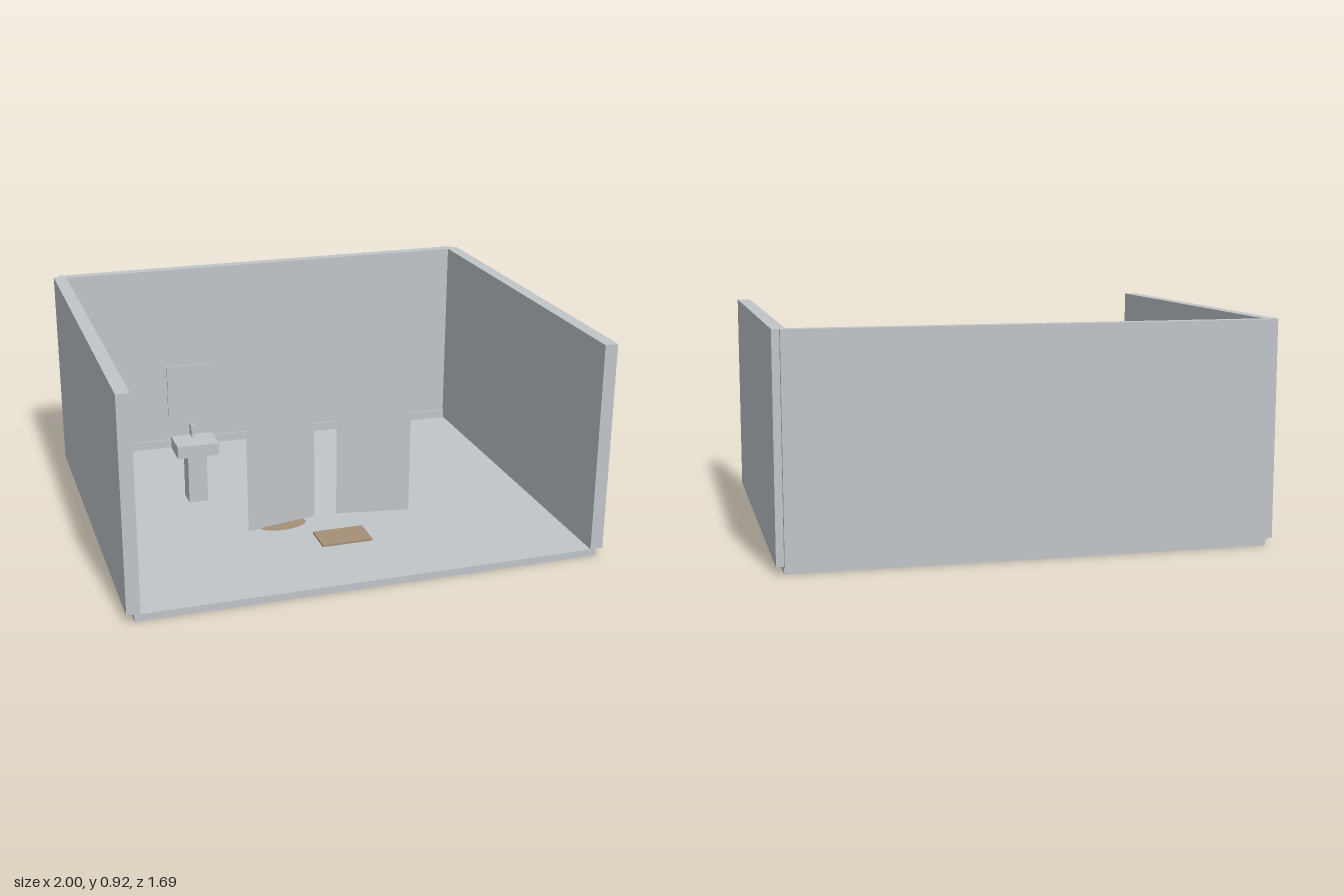
import * as THREE from 'three';

export function createModel() {
  const room = new THREE.Group();
  room.name = 'room';

  const mat = (name, color, opts = {}) =>
    Object.assign(new THREE.MeshStandardMaterial({ color, ...opts }), { name });
  const grey = mat('pale grey', 0xc0c5c9);
  const greySheet = grey.clone();
  greySheet.side = THREE.DoubleSide;
  const brown = mat('tan brown', 0xa58f76, { flatShading: true });
  const blue = mat('sky blue', 0x5fa8d6, { flatShading: true });

  const add = (name, geometry, material, parent = room) => {
    const mesh = new THREE.Mesh(geometry, material);
    mesh.name = name;
    parent.add(mesh);
    return mesh;
  };
  // Box given by its extents along each axis
  const box = (name, [x0, x1], [y0, y1], [z0, z1], material = grey, parent = room) => {
    const mesh = add(name, new THREE.BoxGeometry(x1 - x0, y1 - y0, z1 - z0), material, parent);
    mesh.position.set((x0 + x1) / 2, (y0 + y1) / 2, (z0 + z1) / 2);
    return mesh;
  };
  const group = (name) => {
    const g = new THREE.Group();
    g.name = name;
    room.add(g);
    return g;
  };

  const floorY = 0.03;

  // Shell: floor slab, back wall and two side walls
  box('floor', [-0.97, 0.97], [0, floorY], [-0.82, 0.845]);
  box('backWall', [-0.97, 0.97], [floorY, 0.92], [-0.845, -0.795]);
  box('rightWall', [-1, -0.945], [floorY, 0.92], [-0.82, 0.845]);
  box('leftWall', [0.945, 1], [floorY, 0.92], [-0.82, 0.845]);
  box('baseboard', [-0.945, 0.945], [floorY, 0.07], [-0.797, -0.786]);
  box('door', [-0.947, -0.925], [floorY, 0.64], [0.25, 0.55]);

  // Washbasin with mirror
  const sink = group('washbasin');
  box('pedestal', [-0.545, -0.46], [floorY, 0.255], [-0.2, -0.11], grey, sink);
  box('basin', [-0.595, -0.41], [0.255, 0.31], [-0.225, -0.085], grey, sink);
  box('tap', [-0.51, -0.495], [0.31, 0.365], [-0.225, -0.19], grey, sink);
  box('mirror', [-0.6, -0.405], [0.38, 0.63], [-0.249, -0.241], grey, sink);

  // Two upright sheets turned slightly towards each other's sides
  const sheet = (name, x, z, turn, lean) => {
    const mesh = add(name, new THREE.PlaneGeometry(0.322, 0.56), greySheet);
    mesh.position.set(x, floorY + 0.28, z);
    mesh.rotation.set(0, turn, lean);
  };
  sheet('rightPanel', -0.213, 0.225, 0.2, 0.008);
  sheet('leftPanel', 0.204, 0.22, -0.17, 0);

  // Flat oval on the floor beneath the first sheet
  const oval = add('floorOval', new THREE.CircleGeometry(1, 40).rotateX(-Math.PI / 2), brown);
  oval.scale.set(0.105, 1, 0.056);
  oval.rotation.y = 0.12;
  oval.position.set(-0.21, floorY + 0.002, 0.235);

  box('floorMat', [-0.112, 0.108], [floorY, 0.038], [0.358, 0.498], brown);

  // Canister with a small cap
  const canister = group('canister');
  canister.position.set(0.415, floorY, -0.1);
  add('body', new THREE.CylinderGeometry(0.06, 0.06, 0.12, 18), blue, canister).position.y = 0.06;
  add('cap', new THREE.CylinderGeometry(0.025, 0.025, 0.03, 14), brown, canister).position.y = 0.135;

  return room;
}
